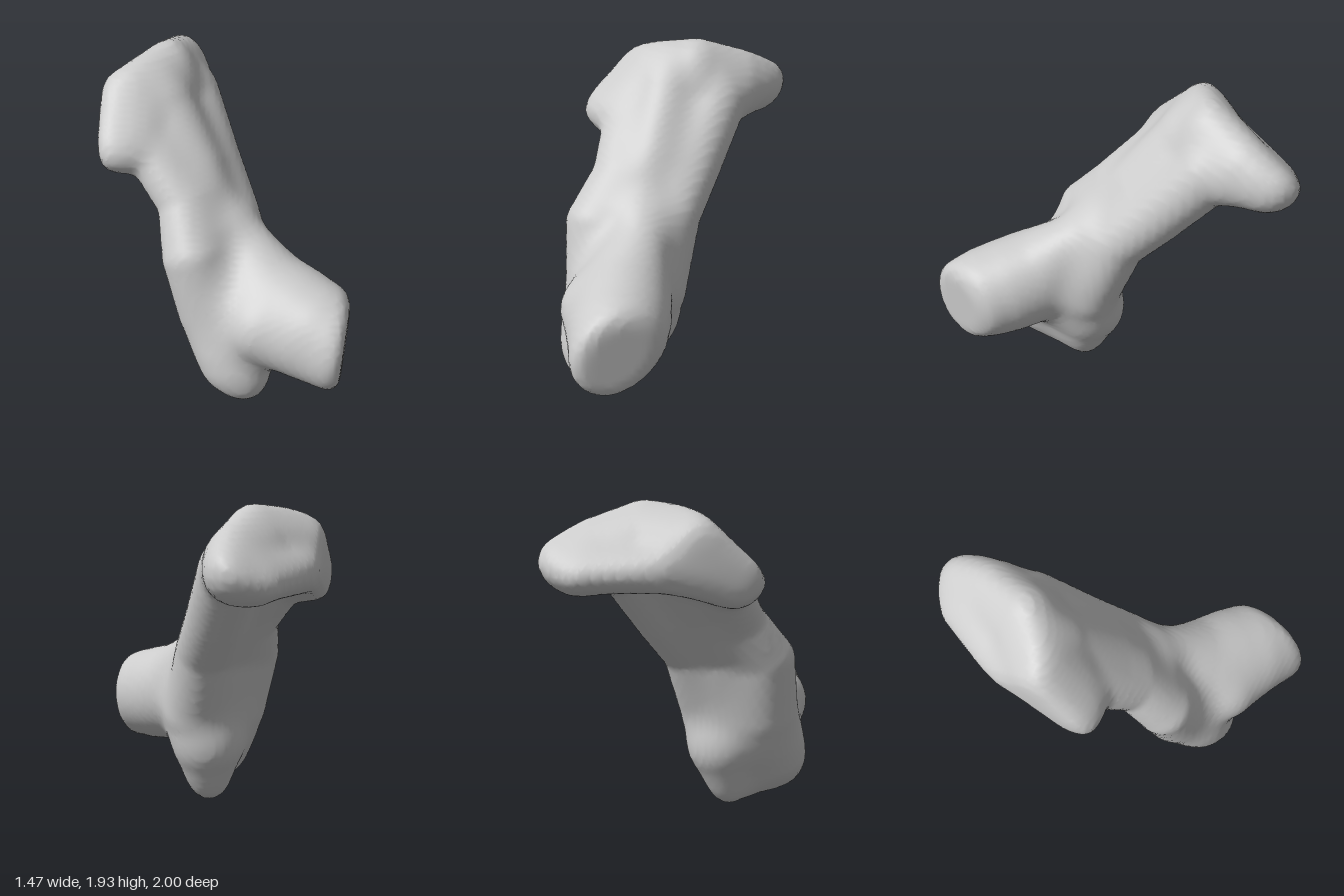
import * as THREE from 'three';

// Each stroke is a chain of round cones: [x, y, z, radius]
const STROKES = {
  keel: [[0.11, 0.21, 0.64, 0.135], [0.05, 0.125, 0.28, 0.125]],
  foot: [[0.07, 0.37, 0.54, 0.215], [0.04, 0.38, 0.24, 0.22]],
  arm: [[0.15, 0.66, 0.42, 0.28], [0.4, 0.61, 0.58, 0.28], [0.62, 0.575, 0.745, 0.253]],
  armFront: [[0.2, 0.61, 0.66, 0.19], [0.45, 0.53, 0.7, 0.21], [0.62, 0.49, 0.8, 0.18]],
  armWeb: [[0.06, 0.98, 0.22, 0.16], [0.28, 0.75, 0.47, 0.21], [0.5, 0.64, 0.65, 0.23]],
  innerEdge: [[0.06, 0.25, 0.27, 0.13], [0.11, 0.6, 0.19, 0.2], [0.03, 1.0, 0.02, 0.18],
    [-0.08, 1.24, -0.19, 0.185], [-0.21, 1.56, -0.45, 0.19], [-0.28, 1.58, -0.72, 0.155]],
  middle: [[0.05, 0.5, 0.35, 0.23], [-0.08, 1.0, 0.23, 0.19], [-0.19, 1.3, 0.01, 0.19], [-0.36, 1.6, -0.2, 0.2]],
  outerEdge: [[0.02, 0.3, 0.57, 0.175], [-0.08, 0.6, 0.46, 0.21], [-0.195, 0.95, 0.42, 0.18],
    [-0.25, 1.2, 0.24, 0.145], [-0.5, 1.52, 0, 0.14]],
  crown: [[-0.62, 1.53, 0.06, 0.155], [-0.55, 1.72, -0.18, 0.19], [-0.36, 1.75, -0.4, 0.195],
    [-0.3, 1.68, -0.65, 0.175], [-0.3, 1.6, -0.84, 0.158]],
  crownRim: [[-0.63, 1.49, 0.06, 0.125], [-0.6, 1.56, -0.36, 0.13], [-0.43, 1.56, -0.78, 0.13]],
};

// Flat faces: arm end, sloping crown top, crown side, crown front [normal, distance]
const CUTS = [
  [0.975, -0.05, 0.2, 0.797],
  [-0.59, 0.7, -0.4, 1.755],
  [-1, 0, 0, 0.74],
  [0, 0.707, 0.707, 1.25],
];

const smoothMin = (a, b, k) => {
  const h = Math.max(k - Math.abs(a - b), 0) / k;
  return Math.min(a, b) - h * h * k * 0.25;
};

function segmentDistance(x, y, z, a, b) {
  const dx = b[0] - a[0], dy = b[1] - a[1], dz = b[2] - a[2];
  const t = THREE.MathUtils.clamp(
    ((x - a[0]) * dx + (y - a[1]) * dy + (z - a[2]) * dz) / (dx * dx + dy * dy + dz * dz), 0, 1);
  return Math.hypot(x - a[0] - dx * t, y - a[1] - dy * t, z - a[2] - dz * t) - a[3] - (b[3] - a[3]) * t;
}

// Strokes melt together, then the flat faces are cut
function field(x, y, z) {
  let d = 9;
  for (const s of Object.values(STROKES)) {
    let e = 9;
    for (let i = 1; i < s.length; i++) e = Math.min(e, segmentDistance(x, y, z, s[i - 1], s[i]));
    d = smoothMin(d, e, 0.12);
  }
  for (const [nx, ny, nz, w] of CUTS) d = -smoothMin(-d, w - nx * x - ny * y - nz * z, 0.08);
  return d;
}

// Surface nets: one vertex per crossed cell, one quad per crossed grid edge
function skin(min, max, step) {
  const n = min.map((m, i) => Math.ceil((max[i] - m) / step) + 1);
  const stride = [1, n[0], n[0] * n[1]];
  const at = (i, j, k) => i + j * stride[1] + k * stride[2];
  const values = new Float32Array(n[0] * n[1] * n[2]);
  for (let k = 0; k < n[2]; k++) for (let j = 0; j < n[1]; j++) for (let i = 0; i < n[0]; i++)
    values[at(i, j, k)] = field(min[0] + i * step, min[1] + j * step, min[2] + k * step);

  const positions = [], index = [], vertexOf = new Map();
  for (let k = 0; k < n[2] - 1; k++) for (let j = 0; j < n[1] - 1; j++) for (let i = 0; i < n[0] - 1; i++) {
    const base = at(i, j, k), sum = [0, 0, 0];
    let count = 0;
    for (let c = 0; c < 8; c++) for (let axis = 0; axis < 3; axis++) {
      if (c >> axis & 1) continue;
      const o = [c & 1, c >> 1 & 1, c >> 2 & 1];
      const p = base + o[0] + o[1] * stride[1] + o[2] * stride[2];
      const a = values[p], b = values[p + stride[axis]];
      if (a < 0 === b < 0) continue;
      o[axis] += a / (a - b);
      for (let q = 0; q < 3; q++) sum[q] += o[q];
      count++;
    }
    if (!count) continue;
    vertexOf.set(base, positions.length / 3);
    [i, j, k].forEach((g, q) => positions.push(min[q] + (g + sum[q] / count) * step));
  }
  for (let k = 1; k < n[2] - 1; k++) for (let j = 1; j < n[1] - 1; j++) for (let i = 1; i < n[0] - 1; i++) {
    const p = at(i, j, k);
    for (let axis = 0; axis < 3; axis++) {
      const inside = values[p] < 0;
      if (inside === values[p + stride[axis]] < 0) continue;
      const u = stride[(axis + 1) % 3], v = stride[(axis + 2) % 3];
      const [a, b, c, d] = [p - u - v, p - v, p, p - u].map((cell) => vertexOf.get(cell));
      if (inside) index.push(a, b, c, a, c, d);
      else index.push(a, c, b, a, d, c);
    }
  }
  const geometry = new THREE.BufferGeometry();
  geometry.setAttribute('position', new THREE.Float32BufferAttribute(positions, 3));
  geometry.setIndex(index);
  geometry.computeVertexNormals();
  return geometry;
}

export function createModel() {
  const group = new THREE.Group();
  group.name = 'branchedStump';
  const body = new THREE.Mesh(
    skin([-0.95, -0.2, -1.2], [0.95, 2.15, 1.2], 0.03),
    new THREE.MeshStandardMaterial({ color: 0xcccccc }));
  body.name = 'stumpBody';
  group.add(body);
  return group;
}
